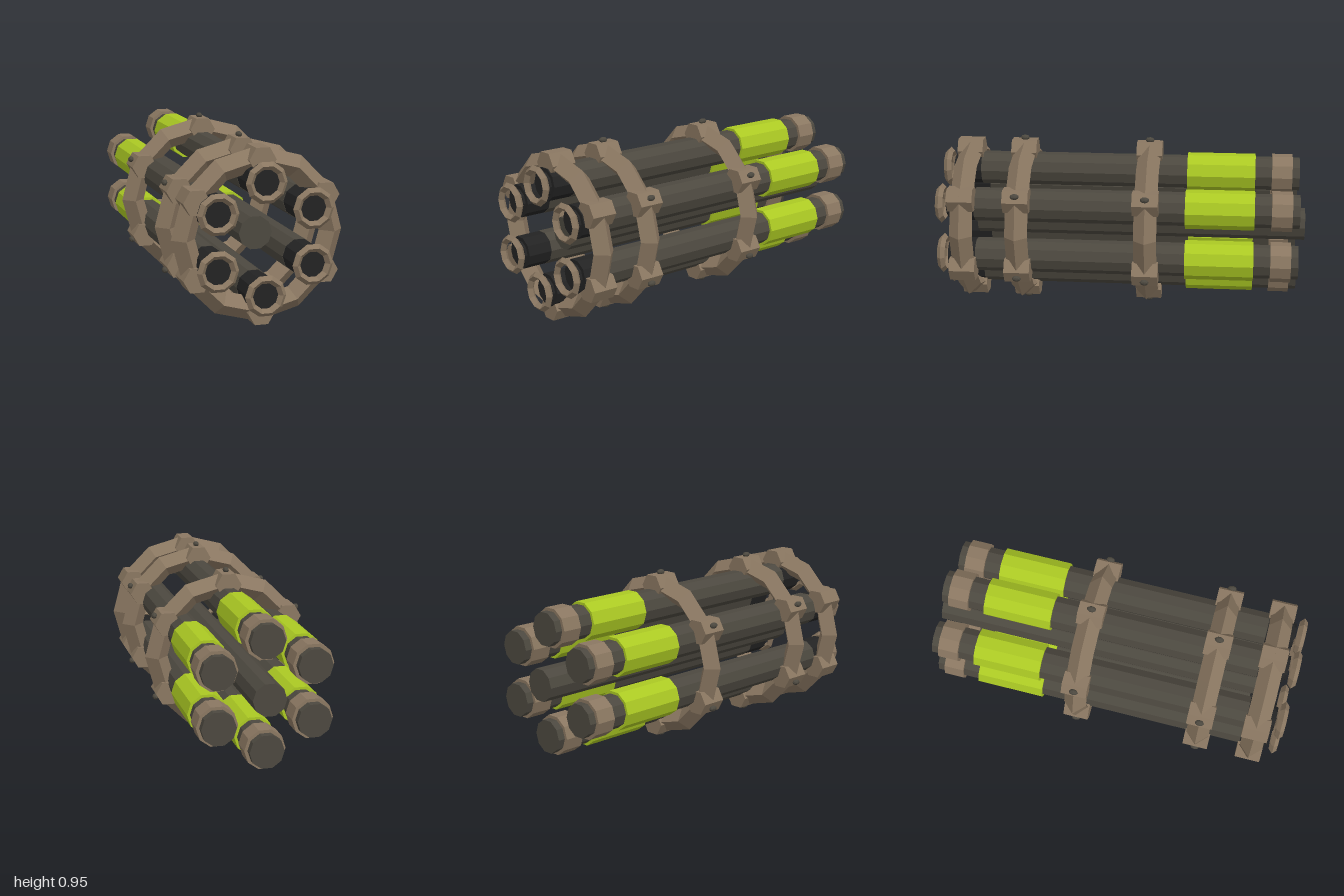
import * as THREE from 'three';

const brown = new THREE.MeshStandardMaterial({ color: 0x8a7761 });
brown.name = 'bronze brown';
const steel = new THREE.MeshStandardMaterial({ color: 0x4c483f });
steel.name = 'dark steel';
const green = new THREE.MeshStandardMaterial({ color: 0xabc923 });
green.name = 'lime green';
const black = new THREE.MeshStandardMaterial({ color: 0x232323 });
black.name = 'bore black';

const AXIS_Y = 0.476;
const BARREL_ORBIT = 0.286;
const RING_RADIUS = 0.389;

// Facet a geometry so every side reads as a flat face
function faceted(geometry) {
  const g = geometry.toNonIndexed();
  g.computeVertexNormals();
  return g;
}

// Prism along z, with corners on the x axis
function prism(radius, sides, zBack, zFront) {
  const g = new THREE.CylinderGeometry(radius, radius, zFront - zBack, sides, 1, false, Math.PI / 2);
  g.rotateX(Math.PI / 2);
  g.translate(0, 0, (zBack + zFront) / 2);
  return faceted(g);
}

function add(parent, name, geometry, material) {
  const mesh = new THREE.Mesh(geometry, material);
  mesh.name = name;
  parent.add(mesh);
  return mesh;
}

export function createModel() {
  const model = new THREE.Group();
  model.name = 'rotaryBarrelCluster';
  const body = new THREE.Group();
  body.name = 'body';
  body.position.y = AXIS_Y;
  model.add(body);

  add(body, 'centralShaft', prism(0.088, 10, -1, 0.82), steel);

  // Geometry shared by the six barrels
  const parts = [
    ['barrelTube', prism(0.091, 10, -0.96, 0.79), steel],
    ['muzzleSleeve', prism(0.089, 10, 0.79, 0.93), black],
    ['bore', prism(0.068, 10, 0.93, 0.944), black],
    ['greenSleeve', prism(0.106, 10, -0.72, -0.35), green],
    ['rearCollar', prism(0.108, 10, -0.92, -0.81), brown],
  ];
  const muzzleGeometry = faceted(new THREE.TorusGeometry(0.0875, 0.021, 4, 10));
  const angles = [0, 1, 2, 3, 4, 5].map((i) => Math.PI / 6 + (i * Math.PI) / 3);

  for (const a of angles) {
    const barrel = new THREE.Group();
    barrel.name = 'barrel';
    barrel.position.set(Math.cos(a) * BARREL_ORBIT, Math.sin(a) * BARREL_ORBIT, 0);
    for (const [name, geometry, material] of parts) add(barrel, name, geometry, material);
    add(barrel, 'muzzleRing', muzzleGeometry, brown).position.z = 0.979;
    body.add(barrel);
  }

  // Three clamp rings with hexagonal lugs; the two rear rings carry bolts
  const ringGeometry = faceted(new THREE.TorusGeometry(RING_RADIUS, 0.062, 4, 12));
  const lugGeometry = prism(0.071, 6, -0.07, 0.07);
  const boltGeometry = new THREE.SphereGeometry(1, 8, 6);
  boltGeometry.scale(0.016, 0.016, 0.025);
  const bolt = faceted(boltGeometry);

  for (const [z, bolted] of [[0.853, false], [0.553, true], [-0.14, true]]) {
    const clamp = new THREE.Group();
    clamp.name = 'clampRing';
    clamp.position.z = z;
    add(clamp, 'ringBand', ringGeometry, brown);
    for (const a of angles) {
      const x = Math.cos(a);
      const y = Math.sin(a);
      add(clamp, 'lug', lugGeometry, brown).position.set(x * RING_RADIUS, y * RING_RADIUS, 0);
      if (bolted) {
        const b = add(clamp, 'bolt', bolt, steel);
        b.position.set(x * 0.46, y * 0.46, 0);
        b.rotation.z = a;
      }
    }
    body.add(clamp);
  }
  return model;
}
